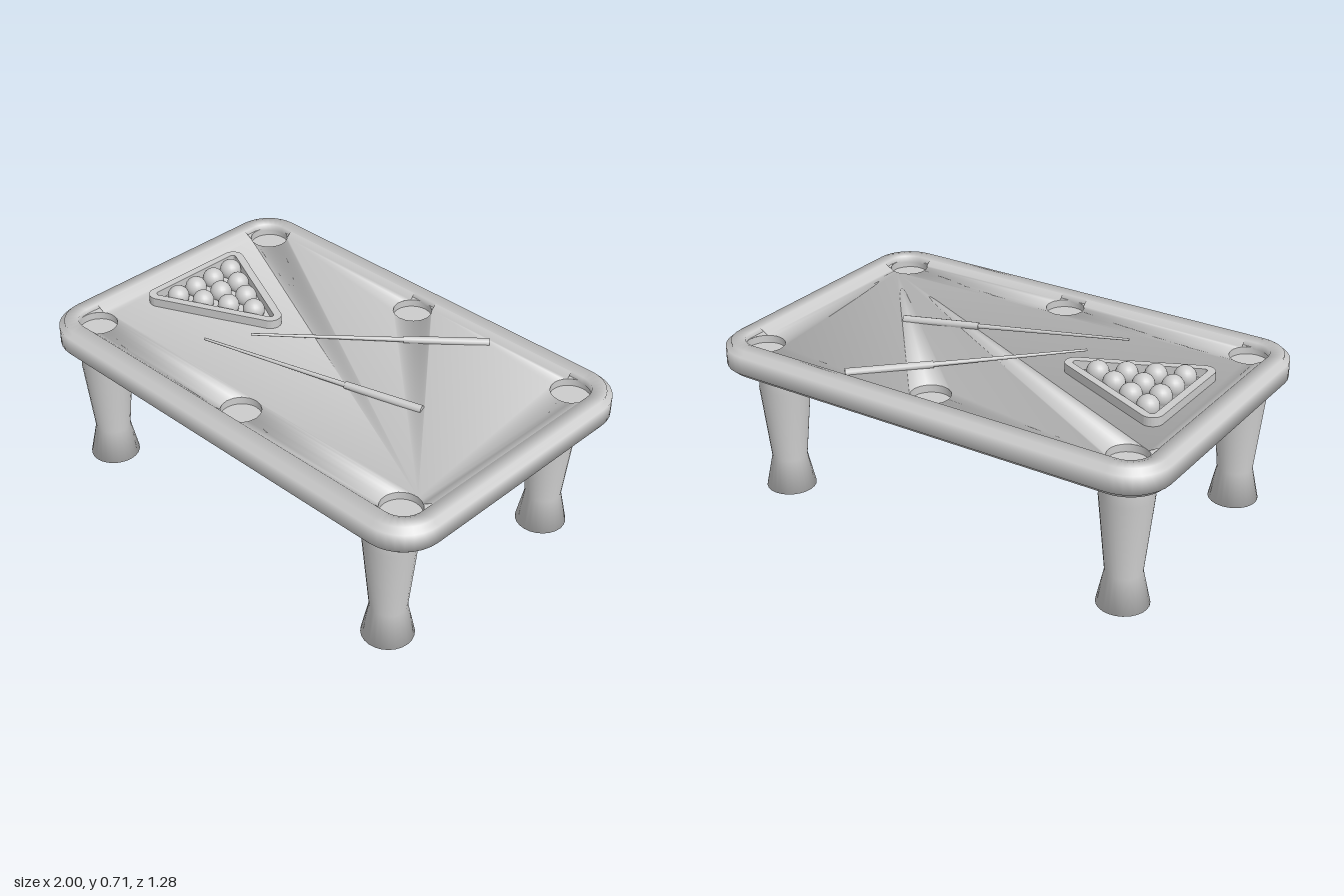
import * as THREE from 'three';
import { toCreasedNormals } from 'three/addons/utils/BufferGeometryUtils.js';

const material = new THREE.MeshStandardMaterial({ color: 0xcccccc });
const POCKET_R = 0.08, POCKET_X = 0.835, POCKET_Z = 0.485, MID_X = 0.018;
const OPEN_X = 0.88, OPEN_Z = 0.54, CLOTH_Y = 0.643, TOP_Y = 0.665;
// Angles at which the pocket circles meet the cushion lines
const A = Math.acos((OPEN_X - POCKET_X) / POCKET_R);
const B = Math.asin((OPEN_Z - POCKET_Z) / POCKET_R);
const CORNERS = [[1, 1], [-1, 1], [-1, -1], [1, -1]];

function add(parent, name, geometry) {
  const mesh = new THREE.Mesh(geometry, material);
  mesh.name = name;
  parent.add(mesh);
  return mesh;
}

// Smooth surface from { p, n } vertices; each triangle is turned to face along its normals
function surface(verts, tris) {
  const index = tris.flatMap(([a, b, c]) => {
    const [u, v, w] = [verts[a], verts[b], verts[c]];
    const face = v.p.clone().sub(u.p).cross(w.p.clone().sub(u.p));
    return face.dot(u.n.clone().add(v.n).add(w.n)) >= 0 ? [a, b, c] : [a, c, b];
  });
  const g = new THREE.BufferGeometry();
  g.setAttribute('position', new THREE.Float32BufferAttribute(verts.flatMap(v => v.p.toArray()), 3));
  g.setAttribute('normal', new THREE.Float32BufferAttribute(verts.flatMap(v => v.n.toArray()), 3));
  g.setIndex(index);
  return g;
}
const vertex = (x, y, z, nx, ny, nz) =>
  ({ p: new THREE.Vector3(x, y, z), n: new THREE.Vector3(nx, ny, nz).normalize() });
const fan = (apex, list) => list.slice(1).map((v, k) => [apex, list[k], v]);

// Triangles between two rows of vertices
function ladder(a, b) {
  const tris = [];
  let i = 0, j = 0;
  while (i < a.length - 1 || j < b.length - 1) {
    if (j === b.length - 1 || (i < a.length - 1 && (i + 1) / a.length <= (j + 1) / b.length)) {
      tris.push([a[i], a[++i], b[j]]);
    } else tris.push([a[i], b[j], b[++j]]);
  }
  return tris;
}

// Rail and underside: a stepped profile of [inset, y] swept round the rounded outline
function railGeometry() {
  const profile = [[0.022, 0.55], [0.022, 0.57], [0, 0.57], [0, 0.645], [0.022, 0.645],
    [0.022, TOP_Y], [0.08, TOP_Y], [0.08, 0.635]];
  const segment = profile.slice(1).map(([o, y], i) =>
    new THREE.Vector2(y - profile[i][1], o - profile[i][0]).normalize());
  const R = 0.17, N = 8, count = 4 * (N + 1), verts = [], tris = [];
  profile.forEach(([inset, y], i) => {
    const n = (segment[i - 1] ?? new THREE.Vector2(0, -1)).clone().add(segment[i] ?? segment[i - 1]).normalize();
    CORNERS.forEach(([sx, sz], c) => {
      for (let k = 0; k <= N; k++) {
        const t = (c + k / N) * Math.PI / 2, dx = Math.cos(t), dz = Math.sin(t);
        verts.push(vertex(sx * (1 - R) + dx * (R - inset), y, sz * (0.642 - R) + dz * (R - inset),
          n.x * dx, n.y, n.x * dz));
      }
    });
    for (let k = 0; i > 0 && k < count; k++) {
      const a = i * count + k, b = i * count + (k + 1) % count;
      tris.push([a, b, a - count], [b, b - count, a - count]);
    }
  });
  const apex = 2 * (N + 1);
  tris.push(...fan(apex, Array.from({ length: count - 1 }, (_, k) => (apex + 1 + k) % count)));
  return surface(verts, tris);
}

// Cloth bounded by the cushion lines and the table side of each pocket
function clothGeometry() {
  const verts = [], N = 12;
  const arc = (cx, cz, a0, a1, e0, e1) => Array.from({ length: N + 1 }, (_, k) => {
    const t = a0 + (a1 - a0) * k / N, c = Math.cos(t), s = Math.sin(t);
    const [nx, nz] = k === 0 ? e0 : k === N ? e1 : [-c, -s];
    return verts.push(vertex(cx + POCKET_R * c, CLOTH_Y, cz + POCKET_R * s, nx, 1, nz)) - 1;
  });
  const PI = Math.PI, toFront = [0, 1], toBack = [0, -1], toLeft = [1, 0], toRight = [-1, 0];
  const backR = arc(-POCKET_X, -POCKET_Z, -B, PI - A, toFront, toLeft);
  const backM = arc(MID_X, -POCKET_Z, PI + B, -B, toFront, toFront);
  const backL = arc(POCKET_X, -POCKET_Z, PI + B, A, toFront, toRight);
  const frontR = arc(-POCKET_X, POCKET_Z, A - PI, B, toLeft, toBack);
  const frontM = arc(MID_X, POCKET_Z, -PI - B, B, toBack, toBack);
  const frontL = arc(POCKET_X, POCKET_Z, -A, -PI - B, toRight, toBack);
  const hub = frontL[2];
  return surface(verts, [
    ...fan(backR[N], [...frontR.slice(0, 3), hub]),
    ...fan(hub, backR),
    ...fan(backR[0], [...backM.slice(0, 5), hub]),
    ...fan(hub, backM.slice(4)),
    ...fan(backM[N], [...backL.slice(0, 5), hub]),
    ...fan(hub, backL.slice(4)),
    ...fan(backL[N], frontL.slice(0, 3)),
    ...ladder(frontR.slice(2), frontM.slice(0, 7).reverse()),
    ...ladder(frontL.slice(2), frontM.slice(6)),
  ]);
}

// Sloped cushion from an inner line up to the rail; (ox, oz) is the outward offset
function cushion(x0, z0, x1, z1, ox, oz) {
  const l = Math.hypot(ox, oz), ix = -ox / l, iz = -oz / l;
  return surface([
    vertex(x0, CLOTH_Y, z0, ix, 1, iz), vertex(x1, CLOTH_Y, z1, ix, 1, iz),
    vertex(x0 + ox, TOP_Y, z0 + oz, ix / 2, 1, iz / 2), vertex(x1 + ox, TOP_Y, z1 + oz, ix / 2, 1, iz / 2),
  ], [[0, 1, 2], [1, 3, 2]]);
}

// Ledge under the cushions, with an opening bitten by the six pockets
function ledgeGeometry() {
  const shape = new THREE.Shape(), hole = new THREE.Path();
  CORNERS.forEach(([sx, sz], i) =>
    shape.absarc(sx * 0.84, sz * 0.49, 0.09, i * Math.PI / 2, (i + 1) * Math.PI / 2, false));
  for (const s of [1, -1]) {
    const t = s > 0 ? 0 : Math.PI;
    hole.absarc(s * POCKET_X, s * POCKET_Z, POCKET_R, t - A, t + Math.PI - B, false);
    hole.absarc(MID_X, s * POCKET_Z, POCKET_R, t + B, t + Math.PI - B, false);
    hole.absarc(-s * POCKET_X, s * POCKET_Z, POCKET_R, t + B, t + Math.PI + A, false);
  }
  shape.holes.push(hole);
  return new THREE.ShapeGeometry(shape, 14).rotateX(-Math.PI / 2).translate(0, CLOTH_Y, 0);
}

function roundedTriangle(r, Type) {
  const pts = [[-0.78, 0.215], [-0.78, -0.195], [-0.335, 0.01]];
  const normal = i => {
    const p = pts[i % 3], q = pts[(i + 1) % 3];
    return Math.atan2(q[1] - p[1], q[0] - p[0]) - Math.PI / 2;
  };
  const s = new Type();
  pts.forEach((p, i) => s.absarc(p[0], p[1], r, normal(i + 2), normal(i), false));
  s.closePath();
  return s;
}

// Tapered cue: thin shaft followed by a thicker handle
function cue(name, tip, butt, split) {
  const group = new THREE.Group();
  group.name = name;
  const a = new THREE.Vector3(...tip), b = new THREE.Vector3(...butt);
  const length = a.distanceTo(b);
  const segment = (part, t0, t1, r0, r1) => add(group, part,
    new THREE.CylinderGeometry(r1, r0, length * (t1 - t0), 10).translate(0, length * (t0 + t1) / 2, 0));
  segment('cueShaft', 0, split, 0.005, 0.01);
  segment('cueHandle', split, 1, 0.015, 0.018);
  group.position.copy(a);
  group.quaternion.setFromUnitVectors(new THREE.Vector3(0, 1, 0), b.sub(a).normalize());
  return group;
}

export function createModel() {
  const model = new THREE.Group();
  model.name = 'poolTable';
  add(model, 'rail', railGeometry());
  add(model, 'railLedge', ledgeGeometry());
  add(model, 'cloth', clothGeometry());

  // Cushions between the pockets
  const gapX = POCKET_R * Math.cos(B), endZ = POCKET_Z - POCKET_R * Math.sin(A);
  for (const s of [-1, 1]) {
    for (const [x0, x1] of [[-POCKET_X + gapX, MID_X - gapX], [MID_X + gapX, POCKET_X - gapX]]) {
      add(model, 'longCushion', cushion(x0, s * OPEN_Z, x1, s * OPEN_Z, 0, s * 0.022));
    }
    add(model, 'endCushion', cushion(s * OPEN_X, -endZ, s * OPEN_X, endZ, s * 0.04, 0));
  }

  // Shallow pockets
  const wall = new THREE.LatheGeometry(
    [new THREE.Vector2(POCKET_R, CLOTH_Y), new THREE.Vector2(POCKET_R, 0.612)], 28);
  const floor = new THREE.CircleGeometry(POCKET_R, 28).rotateX(-Math.PI / 2).translate(0, 0.612, 0);
  for (const x of [-POCKET_X, MID_X, POCKET_X]) {
    for (const z of [-POCKET_Z, POCKET_Z]) {
      add(model, 'pocketWall', wall).position.set(x, 0, z);
      add(model, 'pocketFloor', floor).position.set(x, 0, z);
    }
  }

  // Turned legs
  const profile = [[0, 0], [0.103, 0], [0.073, 0.14], [0.105, 0.46], [0.09, 0.555]]
    .map(([r, y]) => new THREE.Vector2(r, y));
  const legGeometry = new THREE.LatheGeometry(profile, 24);
  for (const x of [-0.815, 0.78]) {
    for (const z of [-0.447, 0.473]) add(model, 'leg', legGeometry).position.set(x, 0, z);
  }

  // Rack frame
  const rack = roundedTriangle(0.046, THREE.Shape);
  rack.holes.push(roundedTriangle(0.014, THREE.Path));
  const rackGeometry = new THREE.ExtrudeGeometry(rack, { depth: 0.037, bevelEnabled: false, curveSegments: 12 });
  rackGeometry.rotateX(-Math.PI / 2).translate(0, CLOTH_Y, 0);
  add(model, 'rack', toCreasedNormals(rackGeometry, 0.6));

  // Ten balls in rows of four to one
  const ballGeometry = new THREE.SphereGeometry(0.045, 20, 14);
  for (let row = 0; row < 4; row++) {
    for (let i = 0; i < 4 - row; i++) {
      add(model, 'ball', ballGeometry)
        .position.set(-0.73 + row * 0.1, 0.665, -0.008 + (i - (3 - row) / 2) * 0.098);
    }
  }

  model.add(cue('backCue', [-0.3, 0.668, 0.13], [0.4, 0.645, -0.52], 0.64));
  model.add(cue('frontCue', [-0.4, 0.676, 0.29], [0.51, 0.645, 0.01], 0.66));
  return model;
}
